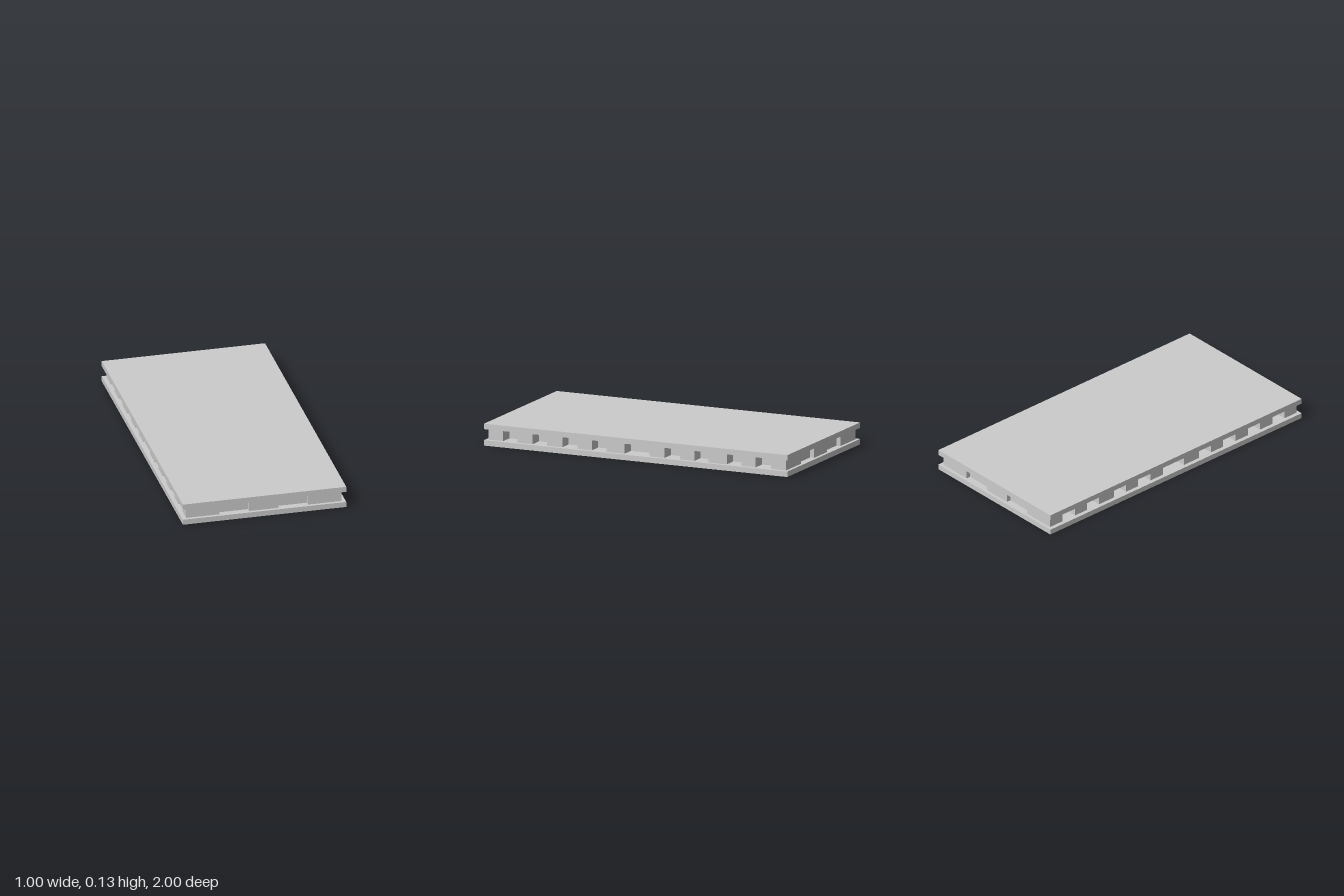
import * as THREE from 'three';

export function createModel() {
  const group = new THREE.Group();
  const mat = new THREE.MeshStandardMaterial({ color: 0xcccccc, flatShading: true, side: THREE.DoubleSide });

  const LOW = 0.033, HIGH = 0.1, TOP = 0.133;   // levels of the layers
  const WX = 0.38, WZ = 0.945;                  // half size of the central opening

  const add = (name, geometry) => {
    const mesh = new THREE.Mesh(geometry, mat);
    mesh.name = name;
    group.add(mesh);
    return mesh;
  };

  // box given by its limits
  const box = (name, x0, x1, y0, y1, z0, z1) =>
    add(name, new THREE.BoxGeometry(Math.abs(x1 - x0), y1 - y0, Math.abs(z1 - z0)))
      .position.set((x0 + x1) / 2, (y0 + y1) / 2, (z0 + z1) / 2);

  // rectangular frame from y0 to y1, with outer and inner half sizes
  const frame = (name, ox, oz, ix, iz, y0, y1) => {
    const corners = (x, z) => [[-x, -z], [x, -z], [x, z], [-x, z]].map(p => new THREE.Vector2(...p));
    const shape = new THREE.Shape(corners(ox, oz));
    shape.holes.push(new THREE.Path(corners(ix, iz).reverse()));
    const geometry = new THREE.ExtrudeGeometry(shape, { depth: y1 - y0, bevelEnabled: false });
    geometry.rotateX(-Math.PI / 2);
    add(name, geometry).position.y = y0;
  };

  // top slab
  box('topSlab', -0.5, 0.5, HIGH, TOP, -1, 1);

  // lower tray: thin outer lip under a flat ring
  frame('lowerLip', 0.5, 1, 0.497, 0.997, 0, LOW);
  frame('lowerRing', 0.5, 1, WX, WZ, LOW - 0.002, LOW);

  // continuous wall behind the blocks
  frame('innerWall', WX + 0.008, WZ + 0.008, WX, WZ, LOW, HIGH);

  // spacer blocks along the long sides
  const sideBlocks = [
    [0.885, 0.98], [0.69, 0.79], [0.495, 0.595], [0.3, 0.395], [0.085, 0.205],
    [-0.18, -0.08], [-0.375, -0.28], [-0.59, -0.47], [-0.78, -0.685], [-0.98, -0.88],
  ];
  for (const s of [-1, 1]) {
    for (const [z0, z1] of sideBlocks)
      box('sideBlock', s * (WX + 0.004), s * 0.475, LOW, HIGH, z0, z1);
  }

  // spacer blocks along the short sides
  for (const s of [-1, 1]) {
    for (const [x0, x1] of [[-0.475, -0.27], [-0.09, 0.09], [0.27, 0.475]])
      box('endBlock', x0, x1, LOW, HIGH, s * (WZ + 0.004), s * 0.98);
  }

  return group;
}
